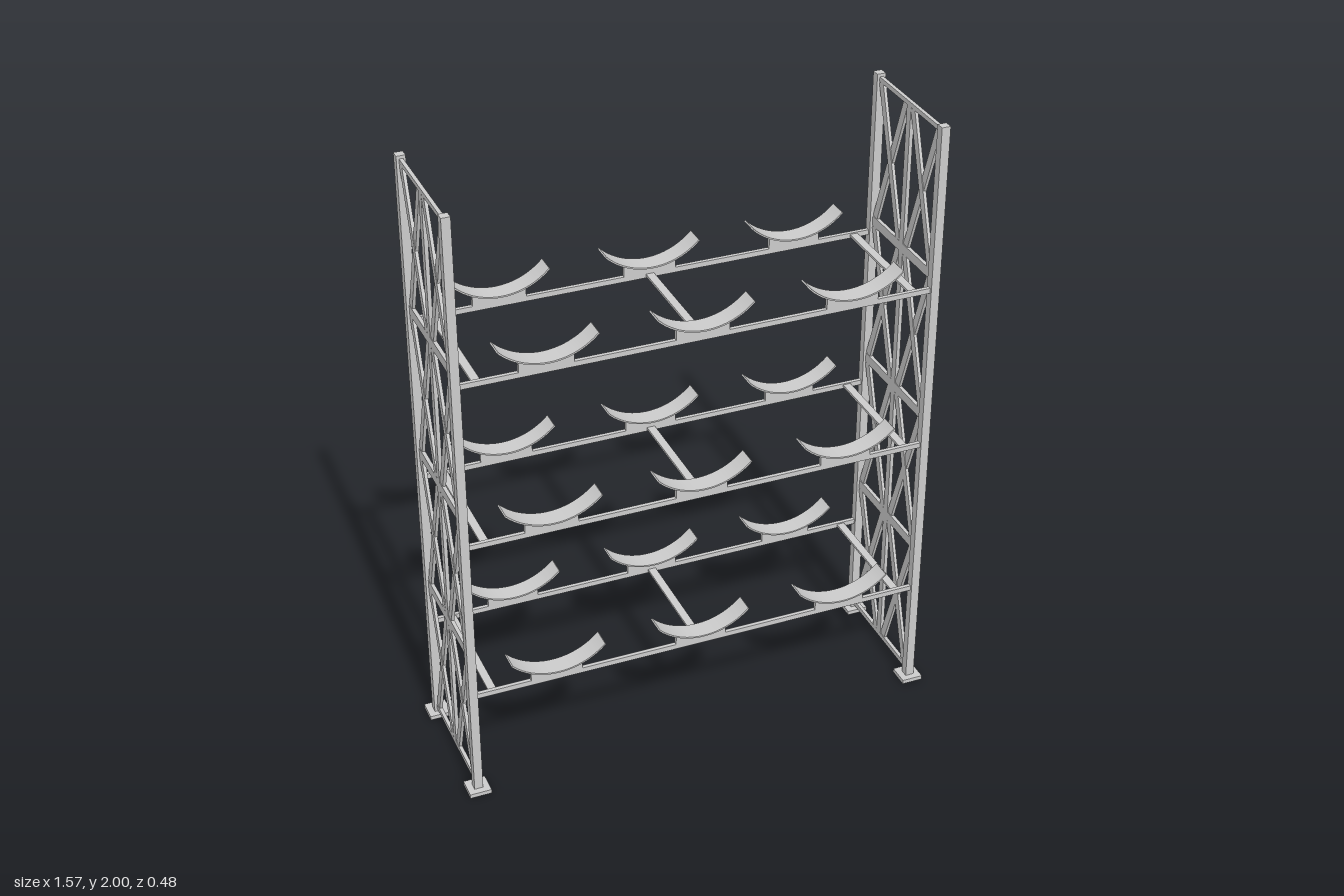
import * as THREE from 'three';
import { toCreasedNormals } from 'three/addons/utils/BufferGeometryUtils.js';

const material = new THREE.MeshStandardMaterial({ color: 0xcccccc });
const POST_X = 0.752, POST_Z = 0.207, POST = 0.028;
const BEAM_TOPS = [0.376, 0.925, 1.473];
const BEAM_H = 0.017, BEAM_D = 0.013;
const CRADLE_R = 0.213, CRADLE_RISE = 0.026, CRADLE_X = 0.48;

function add(parent, name, geometry, x = 0, y = 0, z = 0) {
  const mesh = new THREE.Mesh(geometry, material);
  mesh.name = name;
  mesh.position.set(x, y, z);
  parent.add(mesh);
  return mesh;
}
const box = (parent, name, w, h, d, x, y, z) =>
  add(parent, name, new THREE.BoxGeometry(w, h, d), x, y, z);

function extrude(shape, depth) {
  const g = new THREE.ExtrudeGeometry(shape, { depth, bevelEnabled: false, curveSegments: 20 });
  g.translate(0, 0, -depth / 2);
  return toCreasedNormals(g, 0.5);
}

// Thin curved tray; the origin is on the beam top
function trayGeometry() {
  const half = Math.asin(0.153 / CRADLE_R), down = -Math.PI / 2;
  const cy = CRADLE_RISE + CRADLE_R;
  const s = new THREE.Shape();
  s.absarc(0, cy, CRADLE_R, down - half, down + half, false);
  s.absarc(0, cy, CRADLE_R - 0.005, down + half, down - half, true);
  s.closePath();
  return extrude(s, 0.065);
}

// Upright plate whose top edge follows the tray
function saddleGeometry() {
  const w = 0.084, a = Math.asin(w / CRADLE_R), down = -Math.PI / 2;
  const s = new THREE.Shape();
  s.moveTo(-w, 0);
  s.lineTo(w, 0);
  s.absarc(0, CRADLE_RISE + CRADLE_R, CRADLE_R - 0.001, down + a, down - a, true);
  s.closePath();
  return extrude(s, BEAM_D);
}

// Ladder-like end frame with two columns of crossed braces
function endFrame(x) {
  const g = new THREE.Group();
  g.name = 'endFrame';
  g.position.x = x;
  for (const s of [-1, 1]) {
    box(g, 'post', POST, 1.99, POST, 0, 1.005, s * POST_Z);
    box(g, 'footPlate', 0.07, 0.014, 0.07, 0, 0.007, s * POST_Z);
  }
  const inner = 2 * POST_Z - POST;
  box(g, 'centreUpright', 0.012, 1.95, 0.026, 0, 1.01, 0);
  box(g, 'bottomRail', 0.012, 0.017, inner, 0, 0.034, 0);
  box(g, 'topRail', 0.012, 0.015, inner, 0, 1.983, 0);
  for (const y of [0.522, 1.014, 1.507]) box(g, 'middleRail', 0.012, 0.032, inner, 0, y, 0);

  const bays = [[0.042, 0.507], [0.538, 0.999], [1.03, 1.491], [1.523, 1.976]];
  for (const [y0, y1] of bays) {
    for (const side of [-1, 1]) {
      for (const lean of [-1, 1]) {
        const dz = 0.158, dy = y1 - y0;
        const brace = box(g, 'brace', 0.01, Math.hypot(dz, dy), 0.027,
          lean * 0.001, (y0 + y1) / 2, side * 0.103);
        brace.rotation.x = lean * Math.atan2(dz, dy);
      }
    }
  }
  return g;
}

export function createModel() {
  const model = new THREE.Group();
  model.name = 'cradleRack';
  model.add(endFrame(-POST_X), endFrame(POST_X));

  const tray = trayGeometry(), saddle = saddleGeometry();
  for (const top of BEAM_TOPS) {
    const shelf = new THREE.Group();
    shelf.name = 'shelf';
    shelf.position.y = top;
    model.add(shelf);
    // Front and back beams with three cradles each
    for (const z of [-POST_Z, POST_Z]) {
      box(shelf, 'beam', 2 * POST_X - POST, BEAM_H, BEAM_D, 0, -BEAM_H / 2, z);
      for (const i of [-1, 0, 1]) {
        add(shelf, 'cradleTray', tray, i * CRADLE_X, 0, z);
        add(shelf, 'cradleSaddle', saddle, i * CRADLE_X, 0, z);
      }
    }
    // Flat ties joining the two beams
    for (const x of [-0.686, 0, 0.686])
      box(shelf, 'crossTie', 0.026, 0.008, 2 * POST_Z - BEAM_D, x, -0.008, 0);
  }
  return model;
}
